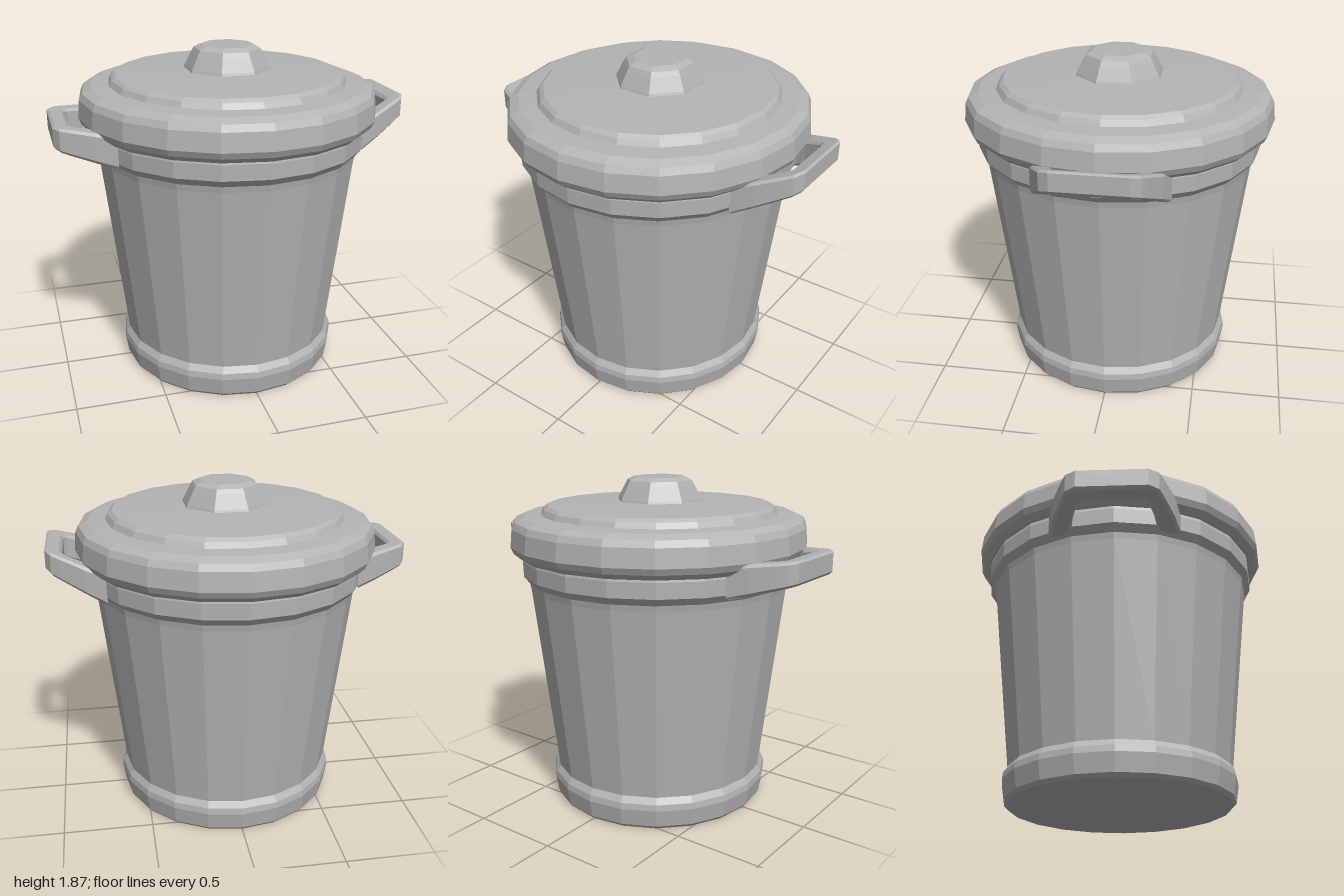
import * as THREE from 'three';

const SIDES = 20;

// Revolved part from [radius, height] pairs listed bottom to top
function revolve(name, profile, material, sides = SIDES, turn = 0) {
  const points = profile.map(([r, y]) => new THREE.Vector2(r, y));
  const mesh = new THREE.Mesh(new THREE.LatheGeometry(points, sides, turn), material);
  mesh.name = name;
  return mesh;
}

// U-shaped grip in plan; heights run linearly from the root to the outer bar
function makeHandle(name, root, tip, material) {
  const half = [[0.68, 0.36], [0.79, 0.325], [0.92, 0.268], [0.965, 0.245], [0.995, 0.19]];
  const inner = [[0.905, 0.165], [0.885, 0.185], [0.80, 0.215], [0.68, 0.24]];
  const mirror = (pts) => pts.map(([x, z]) => [x, -z]).reverse();
  const outline = [...half, ...mirror(half), ...mirror(inner), ...inner];
  const shape = new THREE.Shape(outline.map(([x, z]) => new THREE.Vector2(x, z)));
  const geometry = new THREE.ExtrudeGeometry(shape, {
    depth: 1 - 0.2, bevelEnabled: true, bevelThickness: 0.1, bevelSize: 0.014,
    bevelOffset: -0.014, bevelSegments: 1,
  });
  geometry.translate(0, 0, 0.1).rotateX(-Math.PI / 2);
  const p = geometry.attributes.position;
  for (let i = 0; i < p.count; i++) {
    const t = (p.getX(i) - 0.75) / 0.245;
    const low = THREE.MathUtils.lerp(root[0], tip[0], t);
    const high = THREE.MathUtils.lerp(root[1], tip[1], t);
    p.setY(i, THREE.MathUtils.lerp(low, high, p.getY(i)));
  }
  geometry.computeVertexNormals();
  const mesh = new THREE.Mesh(geometry, material);
  mesh.name = name;
  return mesh;
}

export function createModel() {
  const metal = new THREE.MeshStandardMaterial({ color: 0xb4b4b4, flatShading: true });
  metal.name = 'grey metal';

  const model = new THREE.Group();
  model.name = 'trashCan';

  // Round parts are slightly narrower across x
  const can = new THREE.Group();
  can.name = 'can';
  can.scale.x = 0.975;
  model.add(can);

  // Tapered bucket with a foot band and a collar below the lid
  can.add(revolve('bucket', [
    [0, 0], [0.62, 0], [0.638, 0.02], [0.655, 0.12], [0.65, 0.155], [0.627, 0.19],
    [0.755, 1.27], [0.762, 1.305], [0.795, 1.345], [0.797, 1.43], [0.78, 1.5],
  ], metal));

  // Lid with a thick rim and a raised centre
  can.add(revolve('lid', [
    [0.76, 1.46], [0.81, 1.445], [0.845, 1.475], [0.862, 1.51], [0.852, 1.61],
    [0.835, 1.645], [0.785, 1.668], [0.685, 1.675], [0.668, 1.705], [0.645, 1.722],
    [0.24, 1.742], [0, 1.742],
  ], metal));

  // Eight-sided knob
  can.add(revolve('knob', [
    [0.255, 1.73], [0.245, 1.755], [0.205, 1.83], [0.19, 1.855], [0.15, 1.873], [0, 1.873],
  ], metal, 8, Math.PI / 8));

  // Side handles: the left one tilts up more than the right one
  model.add(makeHandle('leftHandle', [1.335, 1.49], [1.46, 1.578], metal));
  const right = makeHandle('rightHandle', [1.335, 1.505], [1.405, 1.53], metal);
  right.rotation.y = Math.PI;
  model.add(right);

  return model;
}
